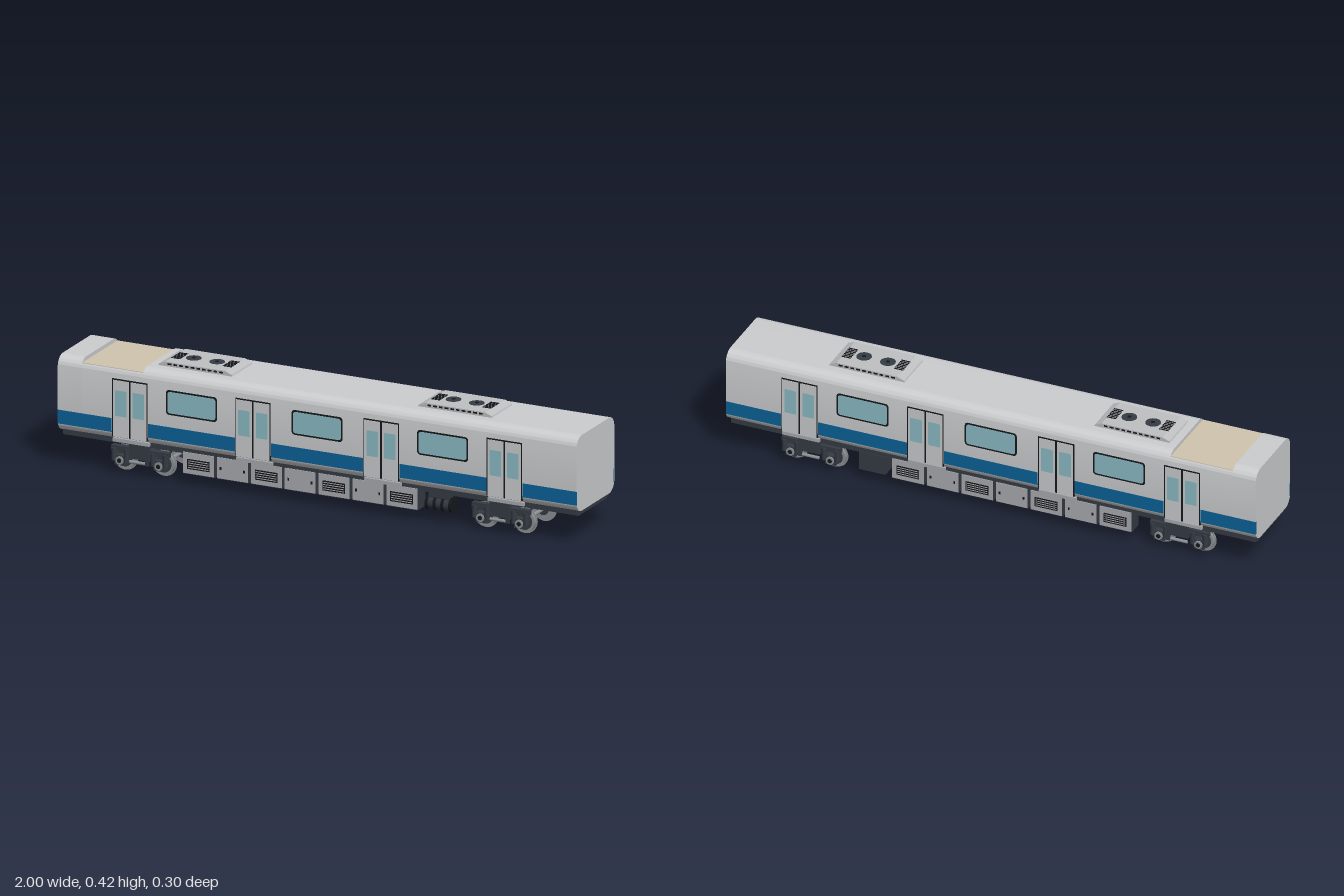
import * as THREE from 'three';
import { toCreasedNormals } from 'three/addons/utils/BufferGeometryUtils.js';

const mat = (name, color) => new THREE.MeshStandardMaterial({ name, color });
const M = {
  body: mat('bodyGrey', 0xcccdcf),
  dark: mat('underframeDark', 0x353b44),
  black: mat('trimBlack', 0x15181b),
  blue: mat('stripeBlue', 0x0a6299),
  glass: mat('glassTeal', 0x8bbcc6),
  beige: mat('wellBeige', 0xcfc4ae),
  unit: mat('unitGrey', 0xbfc0c2),
  steel: mat('wheelSteel', 0x8d9195),
  box: mat('equipmentGrey', 0xa9acb1),
};

function add(parent, name, geo, material, x = 0, y = 0, z = 0) {
  const m = new THREE.Mesh(geo, material);
  m.name = name;
  m.position.set(x, y, z);
  parent.add(m);
  return m;
}
const box = (p, name, material, w, h, d, x, y, z) =>
  add(p, name, new THREE.BoxGeometry(w, h, d), material, x, y, z);
// cylinder along z, or along x when alongX is set
function rod(p, name, material, r, len, x, y, z, alongX = false, sides = 24) {
  const g = new THREE.CylinderGeometry(r, r, len, sides);
  if (alongX) g.rotateZ(Math.PI / 2); else g.rotateX(Math.PI / 2);
  return add(p, name, g, material, x, y, z);
}
function group(parent, name, x = 0, y = 0, z = 0) {
  const g = new THREE.Group();
  g.name = name;
  g.position.set(x, y, z);
  parent.add(g);
  return g;
}

// Body section with rounded corners, cut flat at height top
function shellSegment(x0, x1, top) {
  const r = 0.04, w = 0.105, lo = 0.165, hi = 0.36;
  const a = Math.asin(Math.min(1, (top - hi) / r));
  const s = new THREE.Shape();
  s.absarc(w, lo, r, -Math.PI / 2, 0, false);
  s.absarc(w, hi, r, 0, a, false);
  s.absarc(-w, hi, r, Math.PI - a, Math.PI, false);
  s.absarc(-w, lo, r, Math.PI, Math.PI * 1.5, false);
  const g = new THREE.ExtrudeGeometry(s, { depth: x1 - x0, bevelEnabled: false, curveSegments: 12 });
  g.rotateY(Math.PI / 2);
  g.translate(x0, 0, 0);
  return toCreasedNormals(g, 0.5);
}

// Thin rounded plate centred on the origin, symmetric in z
function plate(w, h, r, d) {
  const s = new THREE.Shape(), a = w / 2 - r, b = h / 2 - r, q = Math.PI / 2;
  s.absarc(a, b, r, 0, q, false);
  s.absarc(-a, b, r, q, 2 * q, false);
  s.absarc(-a, -b, r, 2 * q, 3 * q, false);
  s.absarc(a, -b, r, 3 * q, 4 * q, false);
  const g = new THREE.ExtrudeGeometry(s, { depth: d, bevelEnabled: false, curveSegments: 4 });
  return g.translate(0, 0, -d / 2);
}

const DOORS = [-0.722, -0.247, 0.247, 0.722];

function buildSide(root, s) {
  const side = group(root, s > 0 ? 'frontSide' : 'backSide');
  // stripes between the doors
  const edges = [-1, ...DOORS.flatMap(x => [x - 0.07, x + 0.07]), 1];
  for (let i = 0; i < edges.length; i += 2) {
    const w = edges[i + 1] - edges[i];
    box(side, 'stripe', M.blue, w, 0.05, 0.006, edges[i] + w / 2, 0.18, s * 0.143);
  }
  // windows
  for (const x of [-0.484, 0, 0.484]) {
    add(side, 'windowFrame', plate(0.196, 0.09, 0.012, 0.006), M.black, x, 0.295, s * 0.143);
    add(side, 'windowGlass', plate(0.184, 0.078, 0.009, 0.006), M.glass, x, 0.295, s * 0.1437);
  }
  // sliding double doors with step
  for (const x of DOORS) {
    box(side, 'doorFrame', M.black, 0.136, 0.21, 0.012, x, 0.246, s * 0.1401);
    for (const e of [-1, 1]) {
      box(side, 'doorLeaf', M.body, 0.061, 0.206, 0.012, x + e * 0.034, 0.243, s * 0.1412);
      add(side, 'doorGlass', plate(0.044, 0.093, 0.004, 0.006), M.glass, x + e * 0.034, 0.263, s * 0.1447);
    }
    box(side, 'doorStep', M.box, 0.14, 0.013, 0.014, x, 0.125, s * 0.13);
  }
  // underfloor equipment cases, every other one with a grille
  for (let i = 0; i < 7; i++) {
    const x = -0.464 + i * 0.1305;
    box(side, 'equipmentCase', M.dark, 0.122, 0.08, 0.058, x, 0.08, s * 0.1);
    box(side, 'caseDoor', M.box, 0.118, 0.076, 0.004, x, 0.081, s * 0.13);
    if (i % 2 === 0) {
      box(side, 'grille', M.black, 0.086, 0.036, 0.004, x, 0.078, s * 0.1315);
      for (let j = 0; j < 4; j++)
        box(side, 'grilleSlat', M.box, 0.08, 0.003, 0.004, x, 0.066 + j * 0.008, s * 0.1323);
    } else {
      for (const e of [-1, 1])
        box(side, 'caseLatch', M.black, 0.006, 0.01, 0.004, x + e * 0.045, 0.08, s * 0.1315);
    }
  }
}

function buildRoofUnit(root, x) {
  const unit = group(root, 'roofUnit', x, 0.395, 0);
  // casing with sloping ends
  const s = new THREE.Shape();
  s.moveTo(-0.145, 0); s.lineTo(0.145, 0); s.lineTo(0.14, 0.011);
  s.lineTo(0.115, 0.021); s.lineTo(-0.115, 0.021); s.lineTo(-0.14, 0.011);
  const g = new THREE.ExtrudeGeometry(s, { depth: 0.156, bevelEnabled: false });
  add(unit, 'casing', g.translate(0, 0, -0.078), M.unit);
  for (const e of [-1, 1]) {
    for (let j = 0; j < 10; j++)
      box(unit, 'sideVent', M.black, 0.014, 0.006, 0.002, -0.099 + j * 0.022, 0.014, e * 0.0778);
    const fan = add(unit, 'fan', new THREE.CylinderGeometry(0.027, 0.027, 0.003, 24), M.dark, e * 0.045, 0.021, 0);
    add(fan, 'fanHub', new THREE.CylinderGeometry(0.007, 0.007, 0.002, 12), M.black, 0, 0.002, 0);
    for (let j = -3; j <= 3; j++)
      box(unit, 'louvre', M.black, 0.034, 0.003, 0.005, e * 0.099, 0.021, j * 0.01);
  }
}

function buildBogie(root, x) {
  const b = group(root, 'bogie', x, 0, 0);
  box(b, 'bolster', M.dark, 0.08, 0.02, 0.24, 0, 0.082, 0);
  box(b, 'pivot', M.dark, 0.06, 0.045, 0.07, 0, 0.105, 0);
  box(b, 'upperBolster', M.dark, 0.07, 0.018, 0.25, 0, 0.113, 0);
  box(b, 'tractionRod', M.dark, 0.09, 0.014, 0.07, 0, 0.033, 0);
  for (const s of [-1, 1]) {
    // side frame, lowered in the middle
    box(b, 'sideBeam', M.dark, 0.22, 0.02, 0.022, 0, 0.088, s * 0.107);
    box(b, 'sideBeamMiddle', M.dark, 0.07, 0.022, 0.024, 0, 0.07, s * 0.107);
    box(b, 'airSpring', M.dark, 0.07, 0.03, 0.035, 0, 0.105, s * 0.112);
    box(b, 'damperBracket', M.dark, 0.014, 0.07, 0.008, 0.035, 0.08, s * 0.129);
    rod(b, 'damper', M.steel, 0.006, 0.07, 0, 0.05, s * 0.125, true, 10);
  }
  for (const e of [-1, 1]) {
    const axle = group(b, 'wheelset', e * 0.075, 0.047, 0);
    rod(axle, 'axle', M.steel, 0.007, 0.24, 0, 0, 0, false, 14);
    for (const s of [-1, 1]) {
      rod(axle, 'flange', M.steel, 0.047, 0.004, 0, 0, s * 0.074, false, 32);
      rod(axle, 'tread', M.steel, 0.042, 0.01, 0, 0, s * 0.081, false, 32);
      rod(axle, 'wheelWeb', M.dark, 0.032, 0.0105, 0, 0, s * 0.0812, false, 24);
      rod(axle, 'brakeDisc', M.dark, 0.022, 0.003, 0, 0, s * 0.061);
      box(axle, 'axleBox', M.dark, 0.04, 0.036, 0.024, 0, 0, s * 0.108);
      rod(axle, 'axleCap', M.steel, 0.015, 0.006, 0, 0, s * 0.122, false, 18);
      rod(axle, 'axleCapCentre', M.black, 0.008, 0.006, 0, 0, s * 0.1235, false, 14);
      // primary springs on both sides of the axle box
      for (const k of [-1, 1])
        add(axle, 'spring', new THREE.CylinderGeometry(0.01, 0.01, 0.045, 12), M.dark, k * 0.024, 0.02, s * 0.115);
    }
  }
}

export function createModel() {
  const root = new THREE.Group();
  root.name = 'railwayCarriage';

  // body shell with the lowered roof well
  const shell = group(root, 'bodyShell');
  add(shell, 'endShell', shellSegment(-1, -0.91, 0.4), M.body);
  add(shell, 'wellShell', shellSegment(-0.91, -0.675, 0.384), M.body);
  add(shell, 'mainShell', shellSegment(-0.675, 1, 0.4), M.body);
  box(shell, 'wellFloor', M.beige, 0.235, 0.003, 0.27, -0.7925, 0.3845, 0);

  // underframe
  box(root, 'underframe', M.dark, 1.98, 0.02, 0.22, 0, 0.116, 0);
  for (const s of [-1, 1])
    box(root, 'solebar', M.dark, 1.98, 0.022, 0.016, 0, 0.123, s * 0.118);

  for (const s of [1, -1]) buildSide(root, s);
  for (const x of [-0.503, 0.498]) buildRoofUnit(root, x);
  for (const x of [-0.698, 0.692]) buildBogie(root, x);

  // compressor in front, dark case behind
  const comp = group(root, 'compressor', 0.455, 0.07, 0.1);
  rod(comp, 'tank', M.dark, 0.024, 0.085, 0, 0, 0, true);
  for (const x of [-0.045, -0.015, 0.015, 0.045])
    rod(comp, 'tankBand', M.black, 0.027, 0.01, x, 0, 0, true);
  box(comp, 'tankMount', M.dark, 0.08, 0.03, 0.03, 0, 0.032, 0);
  box(root, 'rearCase', M.dark, 0.1, 0.07, 0.058, 0.455, 0.08, -0.1);
  return root;
}
